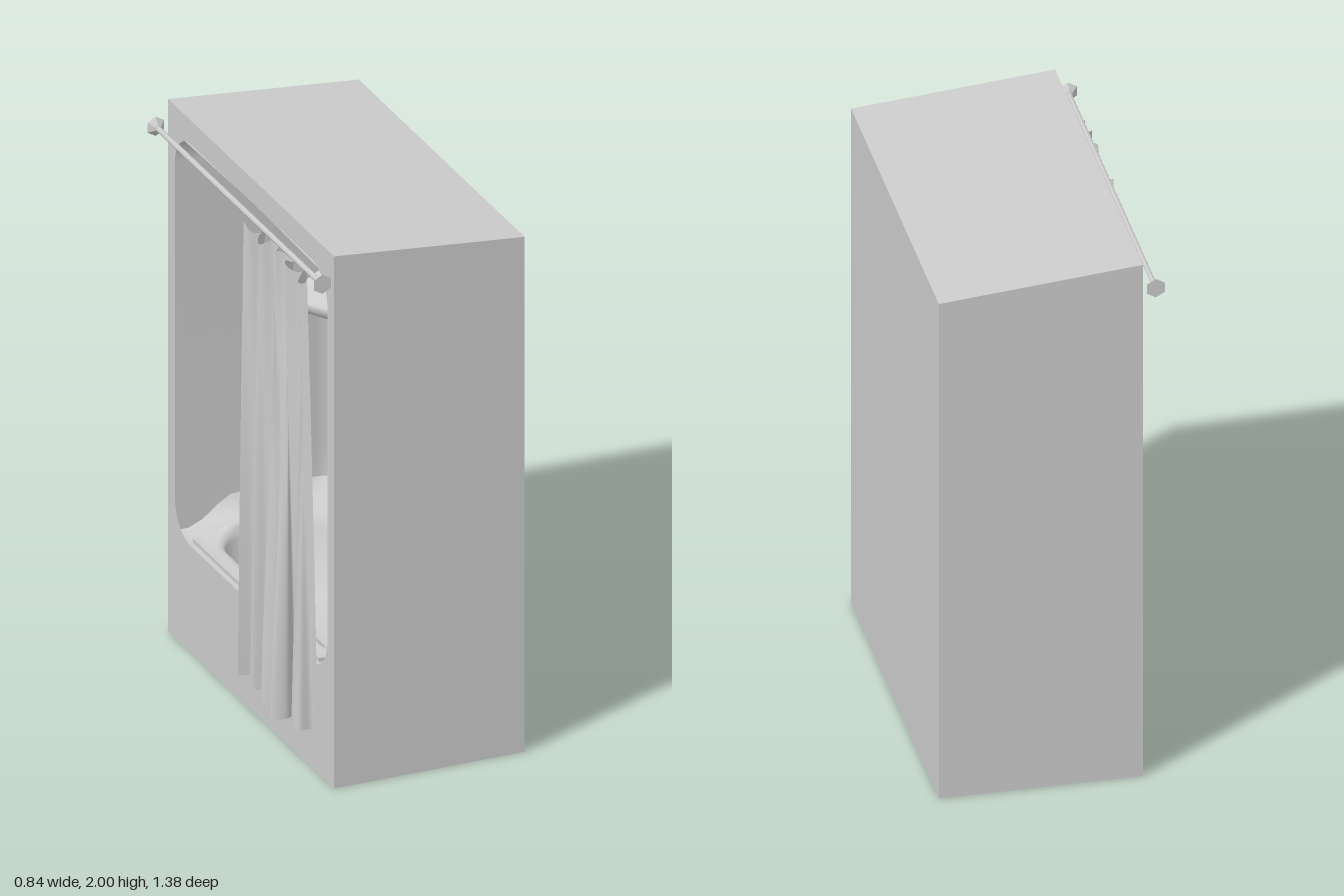
import * as THREE from 'three';

const grey = new THREE.MeshStandardMaterial({ color: 0xcccccc });
const greyThin = new THREE.MeshStandardMaterial({ color: 0xcccccc, side: THREE.DoubleSide });
const greyFacet = new THREE.MeshStandardMaterial({ color: 0xcccccc, flatShading: true });

const X0 = -0.29, X1 = 0.42, HZ = 0.685;

function add(parent, name, geometry, material = grey) {
  const mesh = new THREE.Mesh(geometry, material);
  mesh.name = name;
  parent.add(mesh);
  return mesh;
}

// Skin a surface over rows of points; close joins each row's last point to its first.
function loft(rows, close) {
  const n = rows[0].length, index = [];
  for (let i = 0; i < rows.length - 1; i++) {
    for (let j = 0; j < (close ? n : n - 1); j++) {
      const k = (j + 1) % n, a = i * n, b = a + n;
      index.push(a + j, b + j, a + k, a + k, b + j, b + k);
    }
  }
  const g = new THREE.BufferGeometry();
  g.setAttribute('position', new THREE.Float32BufferAttribute(rows.flat(2), 3));
  g.setIndex(index);
  g.computeVertexNormals();
  return g;
}

// Rounded rectangle in plan: front x, back x, half width, front and back radii, height.
// The part nearest the opening drops to the sill height.
const SILL = 0.4;
function ring([xa, xb, hz, rf, rb, y]) {
  const corners = [
    [xa + rf, -hz + rf, rf, Math.PI, -1], [xb - rb, -hz + rb, rb, -Math.PI / 2, 1],
    [xb - rb, hz - rb, rb, 0, 1], [xa + rf, hz - rf, rf, Math.PI / 2, 1],
  ];
  const pts = [];
  corners.forEach(([cx, cz, r, start]) => {
    for (let i = 0; i <= 8; i++) {
      const a = start + (i / 8) * Math.PI / 2;
      pts.push([cx + r * Math.cos(a), y, cz + r * Math.sin(a)]);
    }
    // extra points along the end walls so the rim can dip smoothly
    if (start === Math.PI || start === 0) {
      const s = start === 0 ? 1 : -1;
      for (let i = 1; i < 10; i++) {
        const t = start === 0 ? 1 - i / 10 : i / 10;
        pts.push([xa + rf + (xb - rb - xa - rf) * t, y, s * hz]);
      }
    }
  });
  if (y > SILL && y < 0.6) {
    pts.forEach((p) => { p[1] = SILL + (y - SILL) * THREE.MathUtils.smoothstep(p[0], -0.24, -0.06); });
  }
  return pts;
}

function outerShell() {
  const g = new THREE.BoxGeometry(X1 - X0, 2, 2 * HZ);
  g.translate((X0 + X1) / 2, 1, 0);
  const p = g.attributes.position;
  for (let i = 0; i < p.count; i++) {
    if (p.getY(i) > 1 && p.getX(i) > 0) p.setY(i, 1.935); // roof falls to the back
  }
  // leave out the side with the opening
  const idx = Array.from(g.index.array).filter((_, i) => i < 6 || i > 11);
  g.setIndex(idx);
  g.clearGroups();
  const flat = g.toNonIndexed();
  flat.computeVertexNormals();
  return flat;
}

function openingPanel() {
  const s = new THREE.Shape();
  s.moveTo(-HZ, 0).lineTo(HZ, 0).lineTo(HZ, 2).lineTo(-HZ, 2).closePath();
  const w = 0.63, b = SILL, t = 1.91, r = 0.13;
  const h = new THREE.Path();
  h.moveTo(-w + r, b);
  h.lineTo(w - r, b).absarc(w - r, b + r, r, -Math.PI / 2, 0, false);
  h.lineTo(w, t - r).absarc(w - r, t - r, r, 0, Math.PI / 2, false);
  h.lineTo(-w + r, t).absarc(-w + r, t - r, r, Math.PI / 2, Math.PI, false);
  h.lineTo(-w, b + r).absarc(-w + r, b + r, r, Math.PI, Math.PI * 1.5, false);
  s.holes.push(h);
  return new THREE.ShapeGeometry(s, 10).rotateY(-Math.PI / 2).translate(X0, 0, 0);
}

// Corner shelf swept up into the two walls, with its origin in the corner.
function cornerShelf() {
  const profile = [[0, -0.03], [0.88, -0.03], [1, 0], [0.94, 0.015], [0.6, 0.035], [0.3, 0.08], [0.12, 0.15], [0, 0.2]];
  const g = new THREE.LatheGeometry(profile.map(([x, y]) => new THREE.Vector2(x, y)), 12, Math.PI, Math.PI / 2);
  const p = g.attributes.position, e = 1.2;
  for (let i = 0; i < p.count; i++) {
    const x = p.getX(i), z = p.getZ(i), r = Math.hypot(x, z) || 1;
    const k = (Math.abs(x / r) ** e + Math.abs(z / r) ** e) ** (-1 / e) || 0;
    if (Number.isFinite(k)) p.setXYZ(i, x * k * 0.26, p.getY(i), z * k * 0.38);
  }
  g.computeVertexNormals();
  return g;
}

function curtain() {
  // fold lines [x, z] at the hem and under the rod
  const hem = [[-0.38, 0.09], [-0.325, 0.11], [-0.315, 0.15], [-0.37, 0.18], [-0.385, 0.21], [-0.32, 0.24],
    [-0.325, 0.27], [-0.39, 0.3], [-0.35, 0.35], [-0.335, 0.39], [-0.4, 0.41], [-0.42, 0.45], [-0.37, 0.47],
    [-0.325, 0.45], [-0.325, 0.5], [-0.375, 0.52], [-0.37, 0.57], [-0.325, 0.58], [-0.32, 0.615]];
  const top = hem.map(([, z], i) => [-0.338 + 0.028 * Math.cos(i * 1.5 + 2.6), 0.11 + (i / (hem.length - 1)) * 0.46 + (z - 0.35) * 0.05]);
  const sheet = (pts) => new THREE.CatmullRomCurve3(pts.map(([x, z]) => new THREE.Vector3(x, 0, z)));
  const a = sheet(hem), b = sheet(top), rows = [], v = new THREE.Vector3();
  for (let i = 0; i <= 16; i++) {
    const t = i / 16, row = [];
    for (let j = 0; j <= 108; j++) {
      v.lerpVectors(a.getPoint(j / 108), b.getPoint(j / 108), t ** 1.2);
      const y = 0.185 + t * 1.69 + t * 0.015 * Math.cos(j / 3);
      row.push(v.toArray().map((c, k) => (k === 1 ? y : c)));
    }
    rows.push(row);
  }
  return loft(rows, false);
}

export function createModel() {
  const model = new THREE.Group();
  model.name = 'showerStall';

  add(model, 'outerShell', outerShell());
  add(model, 'openingPanel', openingPanel());

  // Tub basin, rim and coved ledge
  const wallFoot = [X0, 0.335, 0.635, 0, 0.1, 0.5];
  const tub = [
    [0, 0.001, 0, 0, 0, 0.2],
    [-0.14, 0.13, 0.42, 0.1, 0.12, 0.205],
    [-0.175, 0.18, 0.47, 0.12, 0.14, 0.24],
    [-0.2, 0.21, 0.515, 0.13, 0.15, 0.39],
    [-0.205, 0.22, 0.525, 0.13, 0.15, 0.43],
    [-0.22, 0.235, 0.54, 0.13, 0.15, 0.445],
    [-0.275, 0.3, 0.6, 0.05, 0.12, 0.455],
    wallFoot,
  ];
  add(model, 'tub', loft(tub.map(ring), true), greyThin);

  // Surround walls and ceiling, open to the front of the stall
  const walls = [
    wallFoot,
    [X0, 0.345, 0.64, 0, 0.1, 0.62],
    [X0, 0.345, 0.64, 0, 0.1, 1.78],
    [X0, 0.33, 0.63, 0, 0.1, 1.85],
    [X0, 0.28, 0.58, 0, 0.08, 1.9],
    [X0, 0.24, 0, 0, 0, 1.912],
  ];
  add(model, 'surroundWalls', loft(walls.map(ring), false), greyThin);

  // Raised track along the sill
  add(model, 'sillTrack', new THREE.BoxGeometry(0.02, 0.02, 1.04).translate(-0.262, 0.405, 0));

  // Corner shelves
  for (const side of [1, -1]) {
    const shelf = add(model, side > 0 ? 'frontShelf' : 'rearShelf', cornerShelf(), greyThin);
    shelf.position.set(0.345, 1.2, side * 0.64);
    shelf.scale.z = side;
  }

  // Curtain rod with flared end caps
  const rod = new THREE.Group();
  rod.name = 'curtainRod';
  rod.position.set(-0.335, 1.905, 0);
  model.add(rod);
  add(rod, 'rodBar', new THREE.CylinderGeometry(0.01, 0.01, 1.36, 8).rotateX(Math.PI / 2), greyFacet);
  for (const side of [1, -1]) {
    const cap = add(rod, 'rodEndCap', new THREE.CylinderGeometry(0.036, 0.012, 0.022, 6).rotateX(Math.PI / 2), greyFacet);
    cap.position.z = side * 0.677;
    if (side < 0) cap.rotation.y = Math.PI;
  }

  add(model, 'curtain', curtain(), greyThin);
  return model;
}
